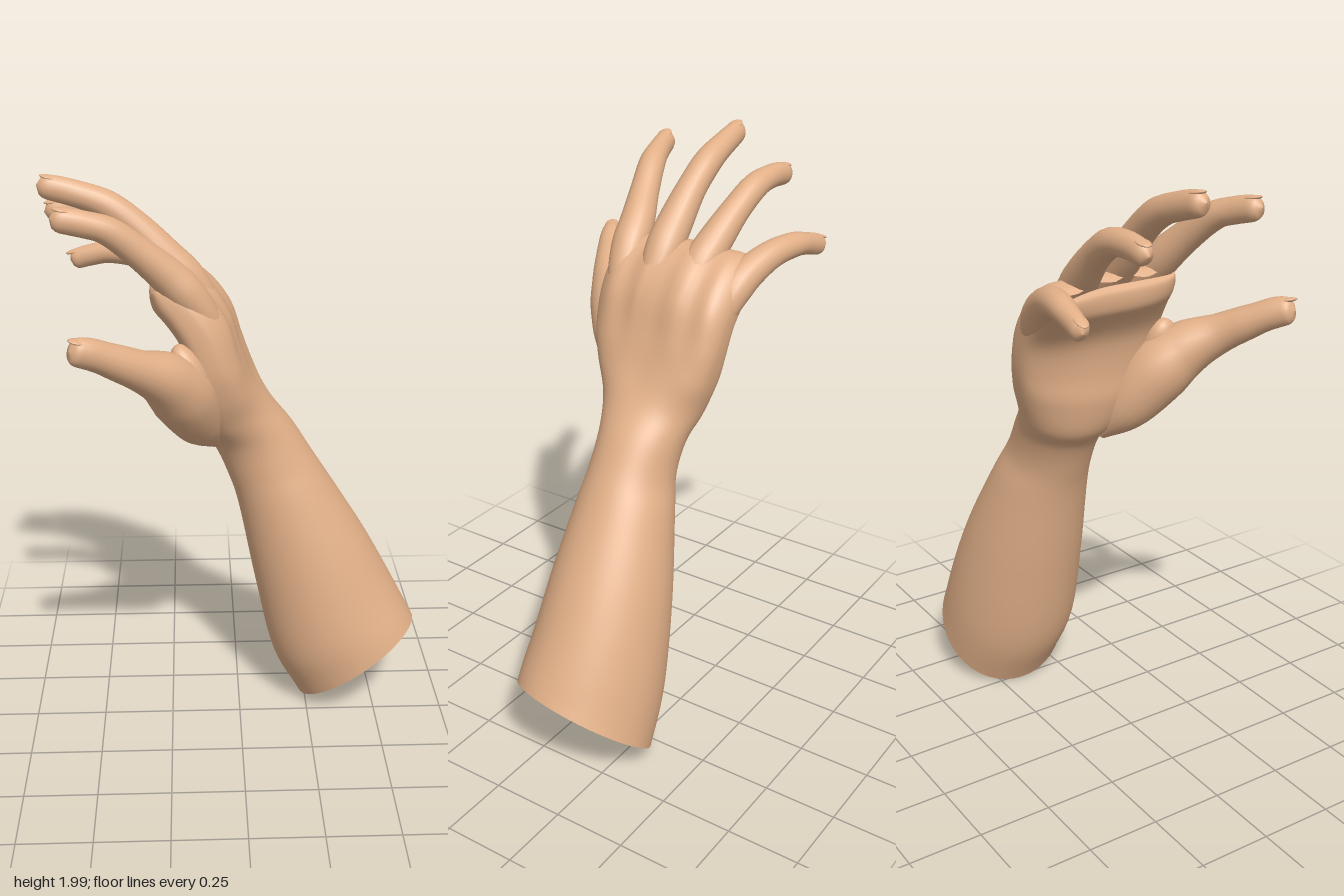
import * as THREE from 'three';

const skin = new THREE.MeshStandardMaterial({ color: 0xe2b088, roughness: 0.8, side: THREE.DoubleSide });
const curve = pts => new THREE.CatmullRomCurve3(pts.map(p => new THREE.Vector3(...p)), false, 'catmullrom', 0.5);
const smooth = THREE.MathUtils.smoothstep;

// Skin a closed ring function ring(u, angle) into a smooth tube
function loft(name, ring, rows, sides) {
  const pos = [], index = [];
  for (let i = 0; i <= rows; i++) {
    for (let j = 0; j < sides; j++) {
      const p = ring(i / rows, (j / sides) * Math.PI * 2);
      pos.push(p.x, p.y, p.z);
      if (i === rows) continue;
      const a = i * sides + j, b = i * sides + (j + 1) % sides;
      index.push(a, b, a + sides, b, b + sides, a + sides);
    }
  }
  const g = new THREE.BufferGeometry();
  g.setAttribute('position', new THREE.Float32BufferAttribute(pos, 3));
  g.setIndex(index);
  g.computeVertexNormals();
  const mesh = new THREE.Mesh(g, skin);
  mesh.name = name;
  return mesh;
}

// Forearm, wrist and palm: [palm-side x, y, back-side x, y, z max, z min]
const sections = [
  [0.23, 0.008, 0.65, 0.325, 0.10, -0.37],
  [0.13, 0.20, 0.58, 0.46, 0.10, -0.365],
  [0.06, 0.50, 0.46, 0.68, 0.08, -0.335],
  [0.00, 0.80, 0.33, 0.89, 0.05, -0.285],
  [-0.04, 0.93, 0.26, 1.00, 0.035, -0.255],
  [-0.09, 1.04, 0.19, 1.11, 0.04, -0.26],
  [-0.15, 1.11, 0.11, 1.21, 0.08, -0.285],
  [-0.18, 1.21, 0.05, 1.30, 0.13, -0.315],
  [-0.19, 1.31, 0.005, 1.41, 0.16, -0.335],
  [-0.215, 1.42, -0.035, 1.53, 0.165, -0.345],
  [-0.26, 1.51, -0.095, 1.62, 0.16, -0.35],
  [-0.292, 1.568, -0.17, 1.675, 0.15, -0.345],
  [-0.297, 1.62, -0.235, 1.675, 0.135, -0.33],
  [-0.28, 1.645, -0.265, 1.655, 0.12, -0.31],
];

function armAndPalm() {
  const palmSide = curve(sections.map(s => [s[0], s[1], 0]));
  const backSide = curve(sections.map(s => [s[2], s[3], 0]));
  const width = curve(sections.map(s => [s[4], s[5], 0]));
  const pow = (v, e) => Math.sign(v) * Math.abs(v) ** e;
  return loft('forearmAndPalm', (u, t) => {
    const a = palmSide.getPoint(u), b = backSide.getPoint(u), w = width.getPoint(u);
    const e = 1 - 0.3 * smooth(u, 0.42, 0.6);
    const c = pow(Math.cos(t), e), s = pow(Math.sin(t), e);
    const half = b.clone().sub(a).multiplyScalar(0.5);
    const p = a.clone().add(b).multiplyScalar(0.5).addScaledVector(half, c);
    p.z = (w.x + w.y) / 2 - s * (w.x - w.y) / 2;
    // slanted cut at the elbow end
    p.y -= 0.045 * s * (1 - smooth(u, 0, 0.12));
    // outer edge of the hand turned slightly toward the back
    p.x += 0.03 * Math.max(0, s) * smooth(u, 0.42, 0.55) * (1 - smooth(u, 0.6, 0.8));
    // tendon ridges on the back, hollow of the palm, arch across the knuckles
    const hand = smooth(u, 0.55, 0.7);
    const ridge = 0.008 * hand * Math.max(0, c) * Math.cos((p.z - 0.09) * Math.PI * 2 / 0.13);
    const hollow = 0.02 * hand * (1 - smooth(u, 0.7, 0.85)) * Math.max(0, -c) ** 2;
    const arch = -0.04 * smooth(u, 0.66, 0.92) * Math.max(0, s) ** 2;
    p.x += (ridge + hollow + arch) * 0.8;
    p.y += (ridge + hollow + arch) * 0.6;
    return p;
  }, 78, 64);
}

// A digit follows [x, y, z, radius] points, buried at its root, and closes in a rounded tip with a nail
function digit(name, pts) {
  const group = new THREE.Group();
  group.name = name;
  const path = curve(pts), radii = curve(pts.map(p => [p[3], 0, 0]));
  const frame = u => {
    const T = path.getTangent(u);
    const V = new THREE.Vector3(0, 0, -1).addScaledVector(T, T.z).normalize();
    return { T, V, N: V.clone().cross(T) };
  };
  group.add(loft(name + 'Skin', (u, t) => {
    const { V, N } = frame(u);
    const cap = Math.sqrt(1 - Math.max(0, (u - 0.95) / 0.05) ** 2 * 0.9999);
    const r = radii.getPoint(u).x * cap;
    return path.getPoint(u)
      .addScaledVector(N, Math.cos(t) * r * (1 + 0.2 * smooth(u, 0.75, 0.95)))
      .addScaledVector(V, Math.sin(t) * r);
  }, 60, 20));

  // nail: a thin oval plate lying on the back of the tip
  const u = 0.95, { T, V, N } = frame(u), r = pts[pts.length - 1][3];
  const nail = new THREE.Mesh(new THREE.SphereGeometry(1, 14, 8), skin);
  nail.name = name + 'Nail';
  nail.quaternion.setFromRotationMatrix(new THREE.Matrix4().makeBasis(N, V, T));
  nail.scale.set(r * 0.25, r * 0.75, 0.036);
  nail.position.copy(path.getPoint(u)).addScaledVector(N, r);
  group.add(nail);
  return group;
}

// Fleshy web joining the thumb to the edge of the palm
function thumbWeb() {
  const web = new THREE.Mesh(new THREE.SphereGeometry(1, 24, 16), skin);
  web.name = 'thumbWeb';
  web.scale.set(0.055, 0.115, 0.065);
  web.rotation.z = 0.4;
  web.position.set(-0.165, 1.37, 0.145);
  return web;
}

const digits = {
  thumb: [[-0.08, 1.08, -0.03, 0.03], [-0.138, 1.175, 0.04, 0.086], [-0.19, 1.295, 0.125, 0.11],
    [-0.245, 1.378, 0.205, 0.093], [-0.32, 1.435, 0.28, 0.067], [-0.40, 1.485, 0.335, 0.056],
    [-0.47, 1.525, 0.38, 0.045], [-0.53, 1.545, 0.415, 0.033]],
  indexFinger: [[-0.06, 1.42, 0.06, 0.025], [-0.105, 1.53, 0.085, 0.047], [-0.17, 1.625, 0.098, 0.062],
    [-0.235, 1.695, 0.11, 0.06], [-0.32, 1.775, 0.138, 0.051], [-0.41, 1.85, 0.167, 0.046],
    [-0.49, 1.88, 0.19, 0.038], [-0.588, 1.903, 0.212, 0.031]],
  middleFinger: [[-0.06, 1.45, -0.04, 0.025], [-0.105, 1.55, -0.04, 0.047], [-0.17, 1.645, -0.04, 0.062],
    [-0.24, 1.72, -0.04, 0.06], [-0.33, 1.815, -0.045, 0.051], [-0.43, 1.89, -0.05, 0.048],
    [-0.54, 1.93, -0.05, 0.039], [-0.65, 1.957, -0.045, 0.031]],
  ringFinger: [[-0.06, 1.43, -0.15, 0.025], [-0.11, 1.53, -0.165, 0.047], [-0.175, 1.615, -0.18, 0.062],
    [-0.245, 1.685, -0.195, 0.058], [-0.34, 1.765, -0.212, 0.049], [-0.44, 1.825, -0.226, 0.045],
    [-0.54, 1.84, -0.235, 0.037], [-0.65, 1.828, -0.24, 0.03]],
  littleFinger: [[-0.06, 1.39, -0.26, 0.025], [-0.11, 1.47, -0.29, 0.045], [-0.17, 1.55, -0.31, 0.057],
    [-0.235, 1.602, -0.33, 0.055], [-0.33, 1.645, -0.363, 0.047], [-0.43, 1.655, -0.39, 0.042],
    [-0.51, 1.64, -0.404, 0.034], [-0.585, 1.618, -0.415, 0.028]],
};

export function createModel() {
  const model = new THREE.Group();
  model.name = 'handAndForearm';
  model.add(armAndPalm(), thumbWeb());
  for (const [name, pts] of Object.entries(digits)) model.add(digit(name, pts));
  return model;
}
